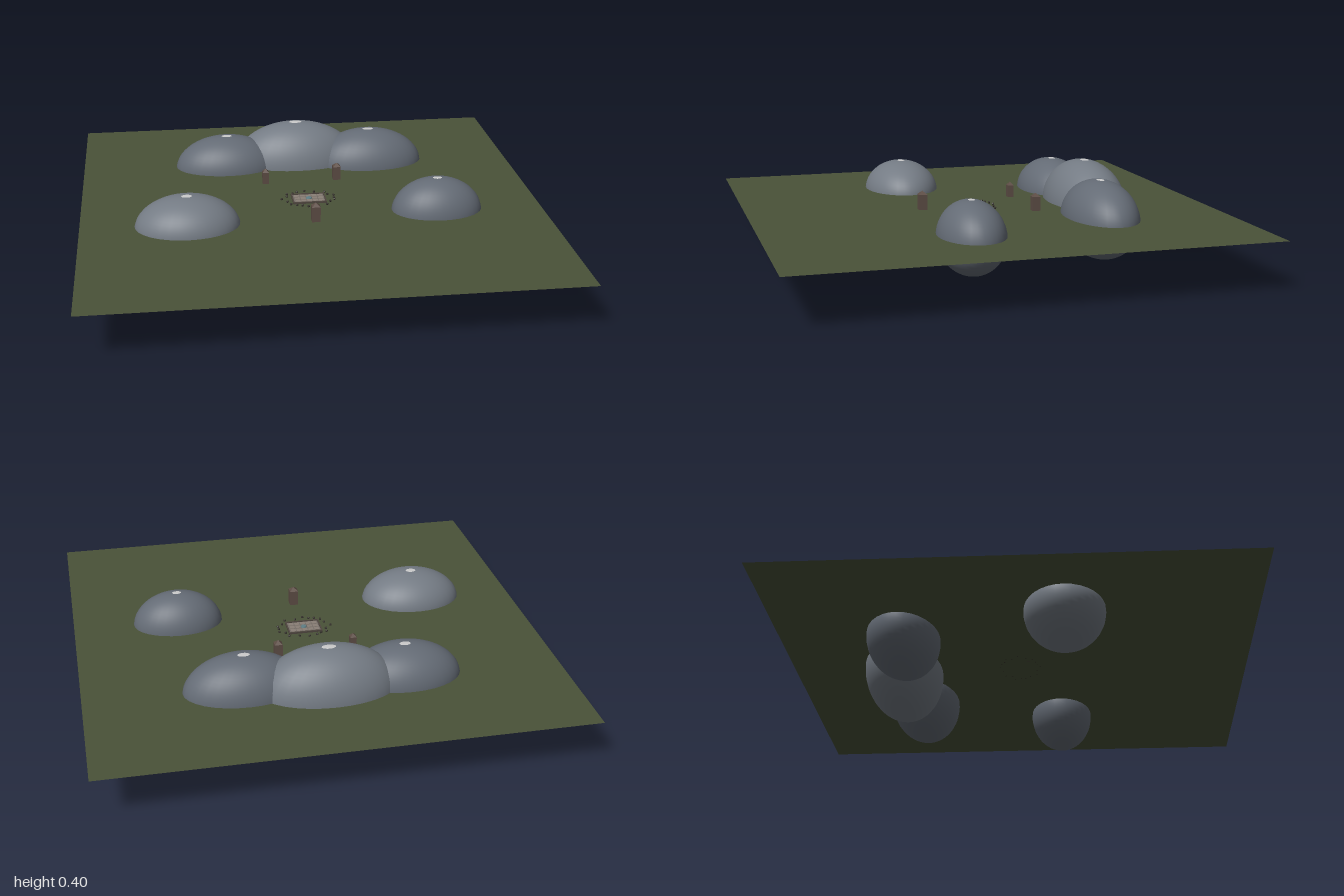
import * as THREE from 'three';

const GROUND_Y = 0.217;
const mat = (color, extra = {}) => new THREE.MeshStandardMaterial({ color, ...extra });

function add(parent, name, geometry, material, x = 0, y = 0, z = 0) {
  const mesh = new THREE.Mesh(geometry, material);
  mesh.name = name;
  mesh.position.set(x, y, z);
  parent.add(mesh);
  return mesh;
}

function group(parent, name, x = 0, y = 0, z = 0) {
  const g = new THREE.Group();
  g.name = name;
  g.position.set(x, y, z);
  parent.add(g);
  return g;
}

export function createModel() {
  const root = new THREE.Group();
  root.name = 'stoneClearing';

  // Flat square of grass
  const grass = new THREE.PlaneGeometry(2, 2).rotateX(-Math.PI / 2);
  add(root, 'ground', grass, mat(0x4a5238, { side: THREE.DoubleSide }), 0, GROUND_Y, 0);

  // Smooth hills: ellipsoids half sunk through the ground, each with a pale summit
  const light = mat(0x747b84), dark = mat(0x646b75), pale = mat(0xcccccc);
  const ball = new THREE.SphereGeometry(1, 32, 32);
  const summit = new THREE.SphereGeometry(1.003, 32, 2, 0, Math.PI * 2, 0, 0.1);
  const hills = [
    // name, x, y, z, radii x, y, z, material
    ['backHill', 0, 0.203, -0.515, 0.295, 0.2, 0.17, light],
    ['backRightHill', -0.33, 0.205, -0.475, 0.24, 0.155, 0.155, dark],
    ['backLeftHill', 0.34, 0.203, -0.46, 0.255, 0.17, 0.155, dark],
    ['frontRightHill', -0.545, 0.203, 0.212, 0.225, 0.143, 0.168, light],
    ['frontLeftHill', 0.54, 0.205, 0.17, 0.198, 0.155, 0.14, dark],
  ];
  for (const [name, x, y, z, rx, ry, rz, material] of hills) {
    const hill = group(root, name, x, y, z);
    hill.scale.set(rx, ry, rz);
    add(hill, 'hillBody', ball, material);
    add(hill, 'hillSummit', summit, pale);
  }

  // Standing stones: square posts with pyramid tips
  const post = mat(0x5c4c44, { flatShading: true });
  const stones = [[-0.172, -0.217, 0.028, 0.054], [0.157, -0.23, 0.034, 0.062], [0, 0.24, 0.037, 0.067]];
  for (const [x, z, w, h] of stones) {
    const stone = group(root, 'standingStone', x, GROUND_Y, z);
    add(stone, 'stonePost', new THREE.BoxGeometry(w, h, w), post, 0, h / 2, 0);
    const tip = new THREE.ConeGeometry(w / Math.SQRT2, 0.016, 4).rotateY(Math.PI / 4);
    add(stone, 'stoneTip', tip, post, 0, h + 0.008, 0);
  }

  // Low paved platform in the middle
  const platform = group(root, 'platform', 0, GROUND_Y, 0);
  add(platform, 'floor', new THREE.BoxGeometry(0.144, 0.004, 0.1), mat(0x77706a), 0, 0.002, 0);
  const kerb = mat(0x4f463f);
  for (const s of [-1, 1]) {
    add(platform, 'longKerb', new THREE.BoxGeometry(0.15, 0.008, 0.006), kerb, 0, 0.004, s * 0.049);
    add(platform, 'shortKerb', new THREE.BoxGeometry(0.006, 0.008, 0.1), kerb, s * 0.072, 0.004, 0);
  }

  // Paving slabs and a bluish centre stone
  const slab = mat(0x8a7f76);
  for (let i = -2; i <= 2; i++) for (let j = -1; j <= 1; j++) {
    if (i || j) add(platform, 'pavingSlab', new THREE.BoxGeometry(0.022, 0.003, 0.022), slab, i * 0.026, 0.005, j * 0.028);
  }
  add(platform, 'centreStone', new THREE.CylinderGeometry(0.012, 0.014, 0.006, 8), mat(0x5f7f86), 0, 0.006, 0);

  // Ring of pebbles around the platform
  const pebble = new THREE.DodecahedronGeometry(0.006);
  const pebbleMat = mat(0x35322c, { flatShading: true });
  for (let i = 0; i < 20; i++) {
    const a = (i / 20) * Math.PI * 2 + 0.1 * Math.sin(i * 5.3);
    const r = 1 + 0.08 * Math.sin(i * 2.7);
    const p = add(platform, 'pebble', pebble, pebbleMat, Math.cos(a) * 0.112 * r, 0.004, Math.sin(a) * 0.085 * r);
    p.rotation.y = i;
  }
  return root;
}
